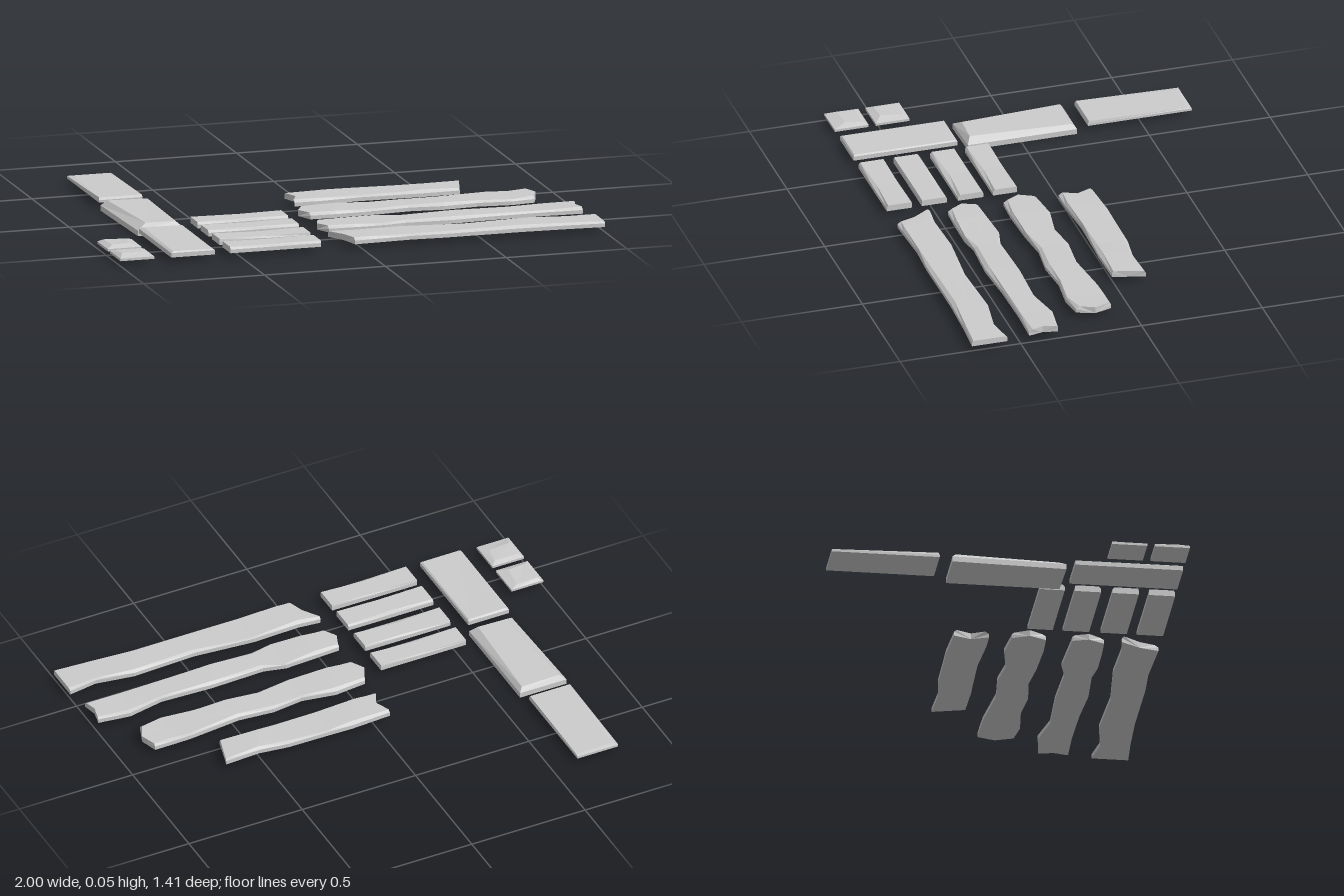
import * as THREE from 'three';

const material = new THREE.MeshStandardMaterial({ color: 0xcccccc, flatShading: true });

// Closed solid through rings of equal point count, wound counter-clockwise seen from the last ring
function loft(name, rings) {
  const pos = [];
  const tri = (a, b, c) => pos.push(...a, ...b, ...c);
  const n = rings[0].length;
  for (let i = 0; i < rings.length - 1; i++) {
    const r = rings[i], s = rings[i + 1];
    for (let j = 0; j < n; j++) {
      const k = (j + 1) % n;
      tri(r[j], r[k], s[k]);
      tri(r[j], s[k], s[j]);
    }
  }
  const first = rings[0], last = rings[rings.length - 1];
  for (let j = 1; j < n - 1; j++) {
    tri(first[0], first[j + 1], first[j]);
    tri(last[0], last[j], last[j + 1]);
  }
  const geo = new THREE.BufferGeometry();
  geo.setAttribute('position', new THREE.Float32BufferAttribute(pos, 3));
  geo.computeVertexNormals();
  const mesh = new THREE.Mesh(geo, material);
  mesh.name = name;
  return mesh;
}

// Rough plank along x. Stations: [xBack, zBack, xFront, zFront, xMiddle]
function plank(name, stations) {
  const y0 = 0.02;
  return loft(name, stations.map(([xb, zb, xf, zf, xm = (xb + xf) / 2], i) => {
    const zm = (zb + zf) / 2;
    const top = 0.045 + 0.002 * Math.sin(i * 1.9);
    const inB = 0.01 + 0.006 * Math.sin(i * 2.3), inF = 0.01 + 0.006 * Math.cos(i * 1.7);
    return [
      [xm, y0, zm], [xb, y0, zb], [xb, 0.037, zb], [xb, top, zb + inB],
      [xm, top, zm], [xf, top, zf - inF], [xf, 0.035, zf], [xf, y0, zf],
    ];
  }));
}

// Four-cornered block with chipped top. Corners run front-left, front-right, back-right, back-left
// in x order; tops holds [x, z, y] per corner.
function block(name, corners, y0, ySide, tops) {
  return loft(name, [
    corners.map(([x, z]) => [x, y0, z]),
    corners.map(([x, z]) => [x, ySide, z]),
    tops.map(([x, z, y]) => [x, y, z]),
  ]);
}
const rect = (x0, x1, z0, z1) => [[x0, z1], [x1, z1], [x1, z0], [x0, z0]];

export function createModel() {
  const group = new THREE.Group();
  group.name = 'planksAndSlabs';

  // Long weathered planks, back to front
  group.add(plank('longPlank1', [
    [-0.07, -0.13, -0.07, 0.01, -0.045], [0.1, -0.14, 0.02, 0.01], [0.2, -0.138, 0.2, -0.002],
    [0.38, -0.136, 0.38, 0.003], [0.5, -0.12, 0.45, 0.006], [0.65, -0.127, 0.615, 0.003],
  ]));
  group.add(plank('longPlank2', [
    [-0.075, 0.1, -0.075, 0.236, -0.105], [0.06, 0.086, 0.03, 0.24], [0.2, 0.11, 0.2, 0.234],
    [0.33, 0.094, 0.34, 0.22], [0.48, 0.108, 0.48, 0.236], [0.7, 0.085, 0.62, 0.225],
    [0.78, 0.083, 0.76, 0.24], [0.86, 0.083, 0.855, 0.226, 0.882],
  ]));
  group.add(plank('longPlank3', [
    [-0.08, 0.34, -0.07, 0.468, -0.1], [0.02, 0.335, 0.03, 0.472], [0.16, 0.328, 0.16, 0.473],
    [0.25, 0.35, 0.25, 0.46], [0.48, 0.343, 0.43, 0.47], [0.7, 0.352, 0.62, 0.458],
    [0.85, 0.322, 0.83, 0.455], [0.983, 0.34, 0.983, 0.46, 0.97],
  ]));
  group.add(plank('longPlank4', [
    [-0.095, 0.535, -0.03, 0.69, -0.05], [0, 0.545, 0.03, 0.687], [0.2, 0.538, 0.2, 0.679],
    [0.45, 0.56, 0.34, 0.686], [0.72, 0.549, 0.66, 0.685], [0.88, 0.574, 0.85, 0.692],
    [1, 0.555, 1, 0.702],
  ]));

  // Short boards: [back z, front z, back chip, front chip] with chips at mid length
  [[0.15, 0.25, 0.004, 0.016], [0.29, 0.395, 0.008, 0.02], [0.44, 0.545, 0.016, 0.004],
    [0.585, 0.69, 0.004, 0.014]].forEach(([z0, z1, chipB, chipF], i) => {
    group.add(loft('shortBoard' + (i + 1), [-0.545, -0.35, -0.17].map((x, k) => {
      const w = k === 1 ? 1 : 0.45, y = k === 1 ? 0.043 : 0.045;
      return [[x, 0.02, z1], [x, 0.02, z0], [x, 0.037, z0], [x, y, z0 + chipB * w],
        [x, y, z1 - chipF * w], [x, 0.035, z1]];
    })));
  });

  // Row of wide slabs
  group.add(block('frontSlab', rect(-0.79, -0.61, 0.26, 0.69), 0.02, 0.038,
    [[-0.78, 0.685, 0.044], [-0.617, 0.685, 0.043], [-0.615, 0.268, 0.043], [-0.775, 0.268, 0.045]]));
  group.add(block('thickSlab', [[-0.785, 0.226], [-0.595, 0.222], [-0.595, -0.23], [-0.8, -0.23]], 0, 0.022,
    [[-0.745, 0.2, 0.046], [-0.625, 0.205, 0.045], [-0.61, -0.215, 0.04], [-0.775, -0.215, 0.043]]));
  group.add(block('backSlab', rect(-0.79, -0.61, -0.71, -0.28), 0.02, 0.03,
    [[-0.788, -0.285, 0.04], [-0.612, -0.285, 0.04], [-0.612, -0.695, 0.033], [-0.768, -0.695, 0.034]]));

  // Small stones
  group.add(block('smallStone1', rect(-1, -0.86, 0.38, 0.52), 0.02, 0.03,
    [[-0.975, 0.495, 0.041], [-0.9, 0.49, 0.042], [-0.89, 0.395, 0.037], [-0.98, 0.395, 0.04]]));
  group.add(block('smallStone2', rect(-1, -0.86, 0.55, 0.69), 0.02, 0.03,
    [[-0.98, 0.645, 0.042], [-0.89, 0.64, 0.04], [-0.88, 0.57, 0.038], [-0.98, 0.57, 0.038]]));
  return group;
}
